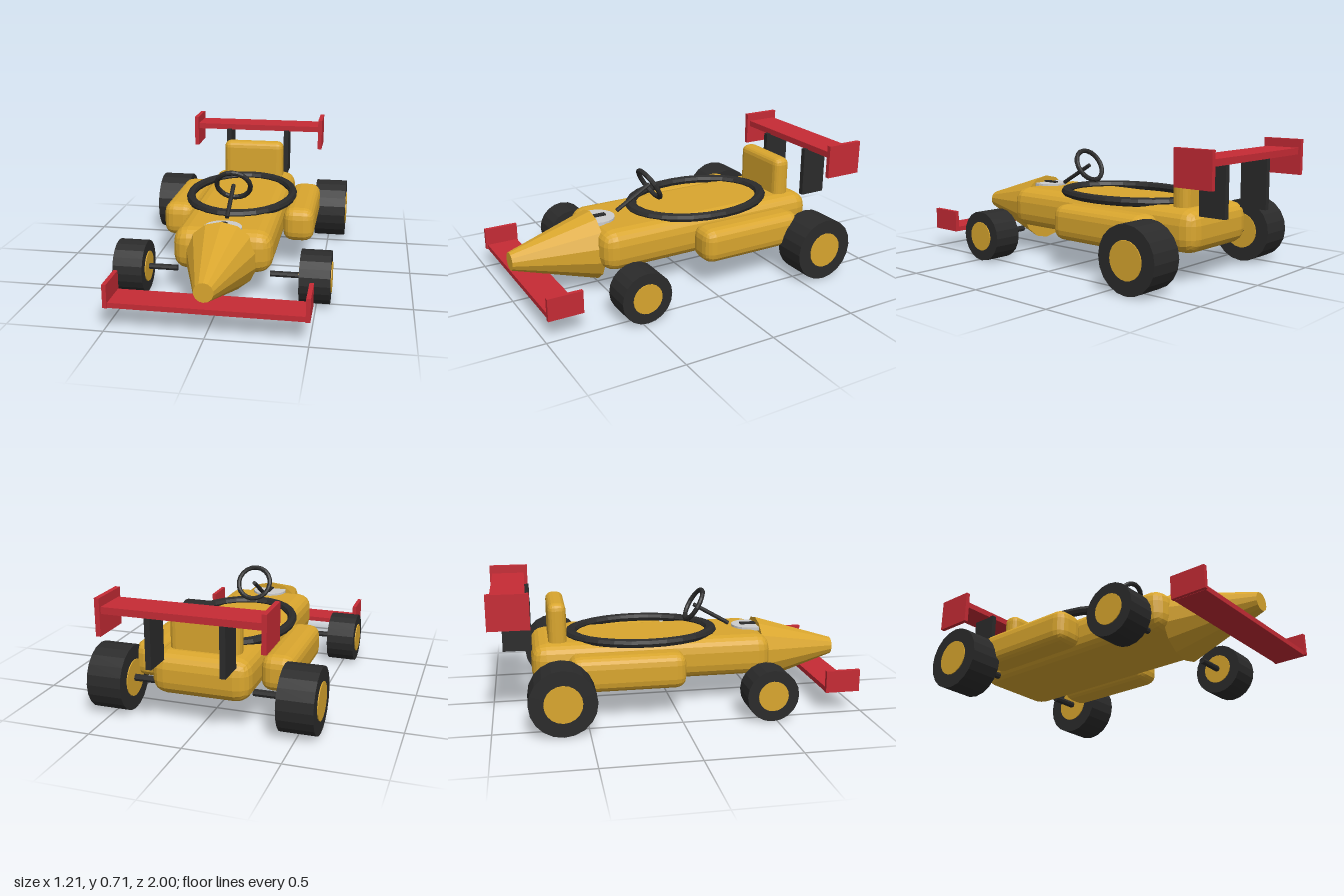
import * as THREE from 'three';
import { RoundedBoxGeometry } from 'three/addons/geometries/RoundedBoxGeometry.js';

const mat = (name, color) => {
  const m = new THREE.MeshStandardMaterial({ color });
  m.name = name;
  return m;
};

export function createModel() {
  const kart = new THREE.Group();
  kart.name = 'raceKart';
  const yellow = mat('bodyYellow', 0xd9a62e);
  const black = mat('rubberBlack', 0x2b2b2b);
  const red = mat('wingRed', 0xc62b35);
  const grey = mat('dialGrey', 0xcccccc);

  // Adds a faceted mesh: every face gets its own normal
  const add = (name, geometry, material, x, y, z, parent = kart) => {
    const g = geometry.index ? geometry.toNonIndexed() : geometry;
    g.computeVertexNormals();
    const mesh = new THREE.Mesh(g, material);
    mesh.name = name;
    mesh.position.set(x, y, z);
    parent.add(mesh);
    return mesh;
  };
  const box = (w, h, d) => new THREE.BoxGeometry(w, h, d);
  const rounded = (w, h, d, r) => new RoundedBoxGeometry(w, h, d, 2, r);
  const xCylinder = (r, length, sides) =>
    new THREE.CylinderGeometry(r, r, length, sides).rotateZ(Math.PI / 2);

  // Body, headrest and nose
  add('body', rounded(0.53, 0.23, 1.34, 0.08), yellow, 0, 0.268, -0.11);
  add('headrest', rounded(0.38, 0.26, 0.1, 0.04), yellow, 0, 0.47, -0.635);
  add('nose', new THREE.CylinderGeometry(0.05, 0.195, 0.47, 14).rotateX(Math.PI / 2),
    yellow, 0, 0.238, 0.765);

  // Cockpit rim, an oval ring
  add('cockpitRim',
    new THREE.TorusGeometry(0.3, 0.025, 8, 28).rotateX(Math.PI / 2).scale(1, 1, 1.35),
    black, 0, 0.39, -0.15);

  // Steering wheel and its column
  const steering = new THREE.Group();
  steering.name = 'steering';
  steering.position.set(0, 0.525, 0.16);
  steering.rotation.x = Math.PI / 6;
  kart.add(steering);
  add('steeringWheel', new THREE.TorusGeometry(0.095, 0.014, 8, 20), black, 0, 0, 0, steering);
  add('steeringColumn', new THREE.CylinderGeometry(0.012, 0.012, 0.24, 8).rotateX(Math.PI / 2),
    black, 0, 0, 0.12, steering);

  // Dial with its pointer, just behind the nose
  add('dial', new THREE.CylinderGeometry(0.1, 0.1, 0.02, 20), grey, 0, 0.385, 0.49);
  add('dialPointer', box(0.03, 0.01, 0.1), black, 0, 0.399, 0.49);

  // Wings
  add('frontWing', box(0.97, 0.027, 0.175), red, 0, 0.128, 0.888);
  add('rearWing', box(0.81, 0.035, 0.185), red, 0, 0.652, -0.893);

  // Parts on both sides
  for (const s of [1, -1]) {
    const side = s > 0 ? 'left' : 'right';
    add(side + 'SidePod', rounded(0.18, 0.195, 0.63, 0.06), yellow, s * 0.352, 0.258, -0.275);
    add(side + 'FrontEndplate', box(0.022, 0.122, 0.19), red, s * 0.492, 0.177, 0.89);
    add(side + 'RearEndplate', box(0.025, 0.19, 0.22), red, s * 0.412, 0.62, -0.89);
    add(side + 'WingPost', box(0.03, 0.285, 0.155), black, s * 0.19, 0.497, -0.853);

    // Wheels: tyre, hub showing on both faces, axle stub
    const wheel = (name, r, hub, width, x, z, axle) => {
      const g = new THREE.Group();
      g.name = side + name;
      g.position.set(s * x, r, z);
      kart.add(g);
      add('tyre', xCylinder(r, width, 20), black, 0, 0, 0, g);
      add('hub', xCylinder(hub, width + 0.01, 20), yellow, 0, 0, 0, g);
      const inner = 0.25, outer = x - width / 2 + 0.02;
      add('axle', xCylinder(axle, outer - inner, 8), black, s * ((inner + outer) / 2 - x), 0, 0, g);
    };
    wheel('RearWheel', 0.177, 0.1, 0.19, 0.507, -0.635, 0.02);
    wheel('FrontWheel', 0.141, 0.082, 0.16, 0.492, 0.475, 0.017);
  }
  return kart;
}
